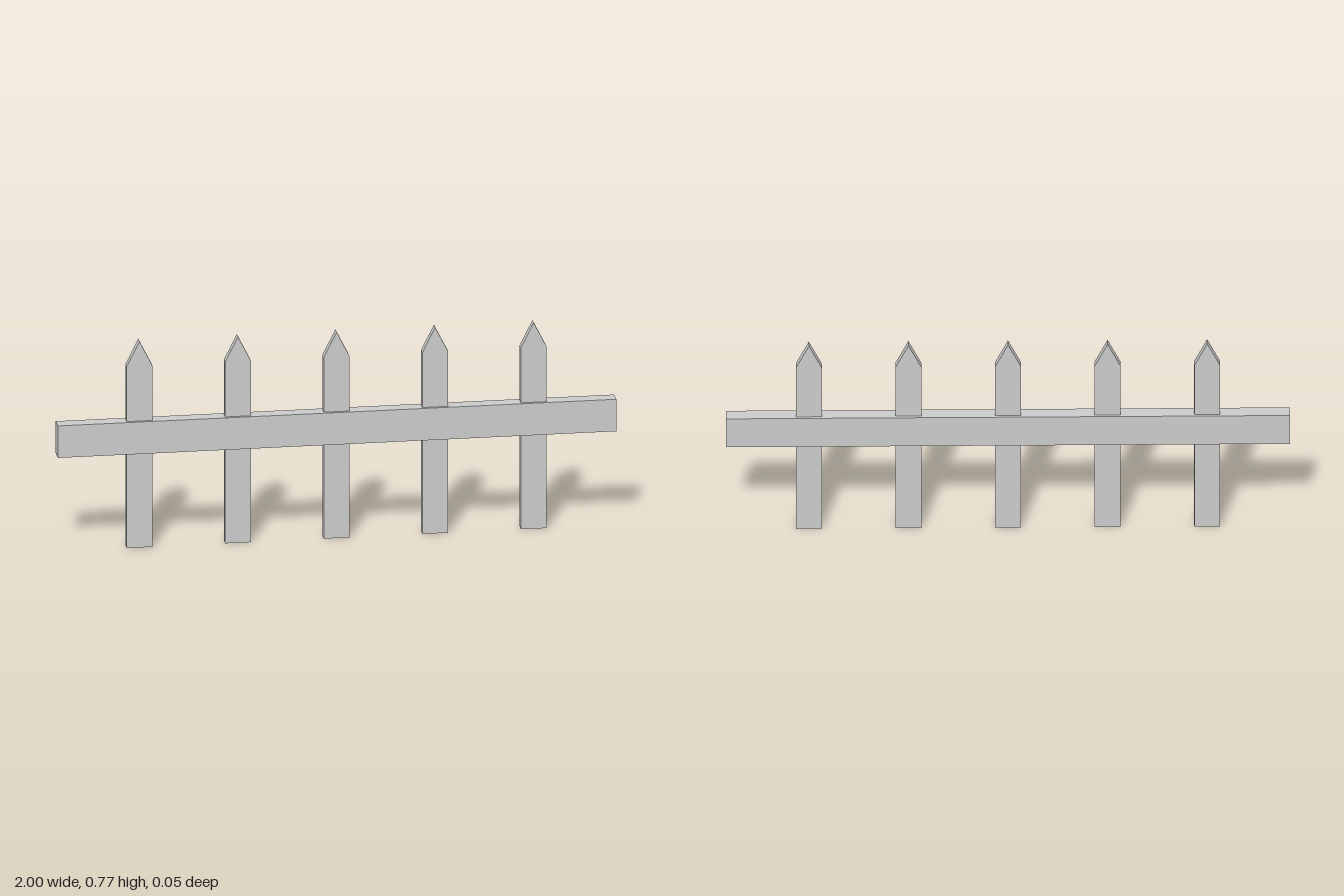
import * as THREE from 'three';

const RAIL = { length: 2, height: 0.12, depth: 0.052, y: 0.414 };
const PICKET = { width: 0.092, height: 0.772, shoulder: 0.68, depth: 0.031 };
const COUNT = 5;
const SPACING = 0.353;

// Flat board with a pointed top, centred on x and z
function picketGeometry({ width, height, shoulder, depth }) {
  const w = width / 2;
  const outline = new THREE.Shape();
  outline.moveTo(-w, 0);
  outline.lineTo(w, 0);
  outline.lineTo(w, shoulder);
  outline.lineTo(0, height);
  outline.lineTo(-w, shoulder);
  outline.closePath();
  return new THREE.ExtrudeGeometry(outline, { depth, bevelEnabled: false })
    .translate(0, 0, -depth / 2);
}

export function createModel() {
  const fence = new THREE.Group();
  fence.name = 'picketFence';
  const material = new THREE.MeshStandardMaterial({ color: 0xcccccc, flatShading: true });

  // Horizontal rail
  const rail = new THREE.Mesh(new THREE.BoxGeometry(RAIL.length, RAIL.height, RAIL.depth), material);
  rail.name = 'rail';
  rail.position.y = RAIL.y;
  fence.add(rail);

  // Evenly spaced pickets running through the rail
  const geometry = picketGeometry(PICKET);
  for (let i = 0; i < COUNT; i++) {
    const picket = new THREE.Mesh(geometry, material);
    picket.name = `picket${i + 1}`;
    picket.position.x = (i - (COUNT - 1) / 2) * SPACING;
    fence.add(picket);
  }
  return fence;
}
